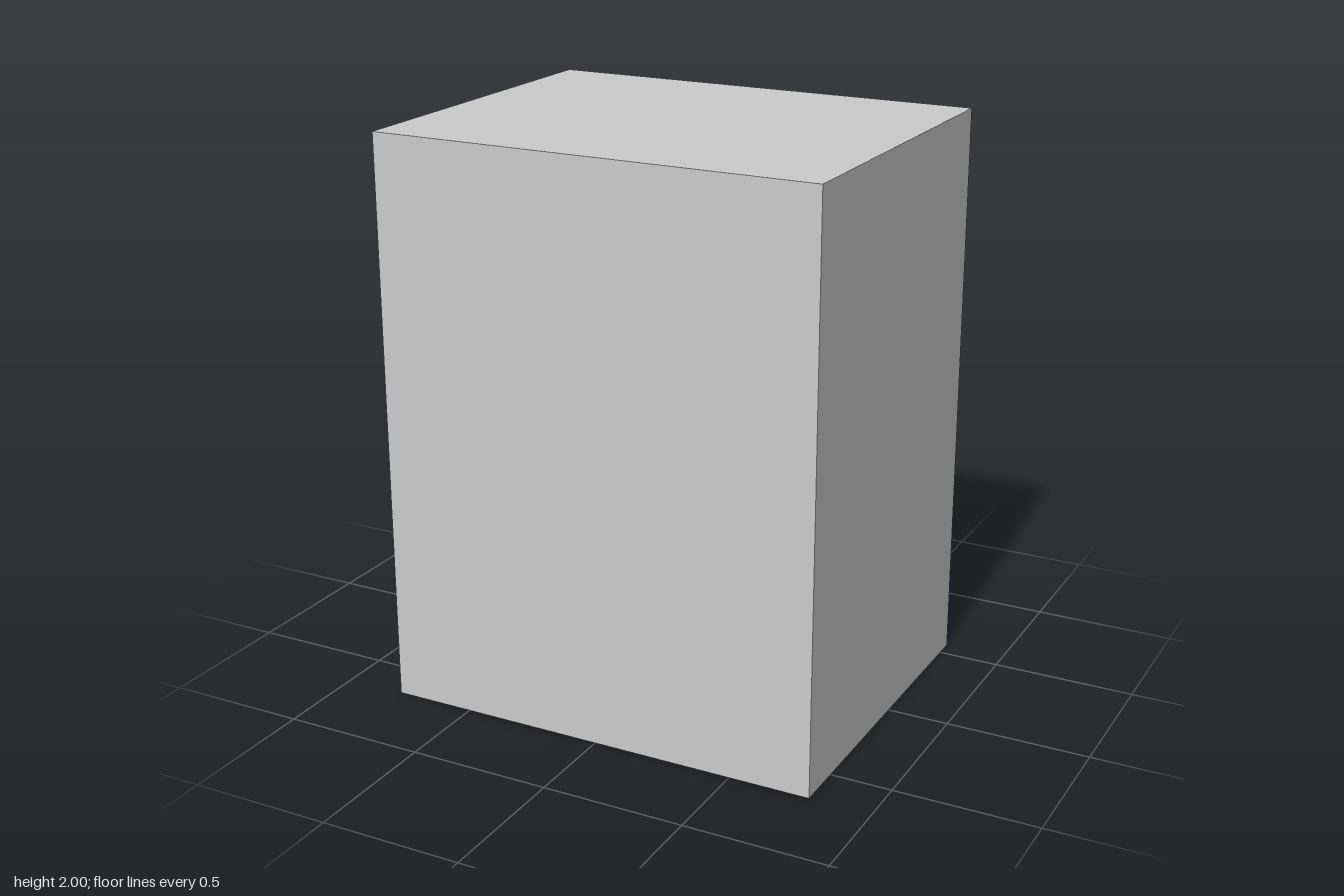
import * as THREE from 'three';

const material = new THREE.MeshStandardMaterial({ color: 0xcccccc });
const doubleMaterial = new THREE.MeshStandardMaterial({ color: 0xcccccc, side: THREE.DoubleSide });

function add(parent, name, geometry, x = 0, y = 0, z = 0, mat = material) {
  const mesh = new THREE.Mesh(geometry, mat);
  mesh.name = name;
  mesh.position.set(x, y, z);
  parent.add(mesh);
  return mesh;
}

const rectPoints = (w, h, cy = 0) => [[-1, -1], [1, -1], [1, 1], [-1, 1]]
  .map(([sx, sy]) => new THREE.Vector2(sx * w / 2, cy + sy * h / 2));

// Slab with holes, spanning z = 0..depth, chamfered around its outer edge at z = 0
function chamferedSlab(w, h, depth, holes, chamfer) {
  const shape = new THREE.Shape(rectPoints(w, h));
  holes.forEach(points => shape.holes.push(new THREE.Path(points)));
  const geometry = new THREE.ExtrudeGeometry(shape, { depth, steps: 2, bevelEnabled: false });
  const p = geometry.attributes.position;
  for (let i = 0; i < p.count; i++) {
    const x = p.getX(i), y = p.getY(i), z = p.getZ(i);
    if (Math.abs(z - depth / 2) < 1e-4) p.setZ(i, chamfer);
    if (z < 1e-4) {
      if (Math.abs(x) > w / 2 - 1e-4) p.setX(i, x - Math.sign(x) * chamfer);
      if (Math.abs(y) > h / 2 - 1e-4) p.setY(i, y - Math.sign(y) * chamfer);
    }
  }
  geometry.computeVertexNormals();
  return geometry;
}

// Sloping floor of the finger pull: deep under the arch, flush at the bottom
function pullFloor(arch, bottom, depth) {
  const positions = [], index = [];
  arch.forEach(([x, y], i) => {
    positions.push(x, bottom, 0, x, y, depth);
    if (i) {
      const a = 2 * i - 2;
      index.push(a, a + 1, a + 2, a + 1, a + 3, a + 2);
    }
  });
  const geometry = new THREE.BufferGeometry();
  geometry.setAttribute('position', new THREE.Float32BufferAttribute(positions, 3));
  geometry.setIndex(index);
  geometry.computeVertexNormals();
  return geometry;
}

function makeDrawer() {
  const drawer = new THREE.Group();
  const w = 1.27, h = 0.7, wall = 0.07, length = 1.15, front = -0.67;
  const bottom = -0.234, pullDepth = 0.06;
  const arch = [[-0.32, -0.175], [-0.23, -0.145], [-0.12, -0.125], [0.12, -0.125], [0.23, -0.145], [0.32, -0.175]];

  // Front panel with the arched finger pull cut into it
  const hole = [[-0.32, bottom], ...arch, [0.32, bottom]].map(([x, y]) => new THREE.Vector2(x, y));
  add(drawer, 'drawerFront', chamferedSlab(w, h, wall, [hole], 0.012), 0, 0, front);
  add(drawer, 'fingerPull', pullFloor(arch, bottom, pullDepth), 0, 0, front, doubleMaterial);

  // Open tray behind the panel
  const trayLength = length - wall, trayZ = front + wall + trayLength / 2;
  for (const s of [-1, 1]) {
    add(drawer, s > 0 ? 'drawerLeftSide' : 'drawerRightSide',
      new THREE.BoxGeometry(wall, h, trayLength), s * (w - wall) / 2, 0, trayZ);
  }
  add(drawer, 'drawerBottom', new THREE.BoxGeometry(w - 2 * wall, wall, trayLength), 0, (wall - h) / 2, trayZ);
  add(drawer, 'drawerBack', new THREE.BoxGeometry(w - 2 * wall, h - wall, wall), 0, wall / 2, front + length - wall / 2);
  return drawer;
}

export function createModel() {
  const cabinet = new THREE.Group();
  cabinet.name = 'cabinet';
  const w = 1.57, h = 2, back = 0.67, front = -0.58, panel = 0.07;
  const drawerHeights = [0.5, 1.5];

  // Carcass with two drawer openings, closed by a plain panel
  const openings = drawerHeights.map(y => rectPoints(1.31, 0.73, y - h / 2));
  add(cabinet, 'carcass', chamferedSlab(w, h, back - panel - front, openings, 0.012), 0, h / 2, front);
  add(cabinet, 'closingPanel', new THREE.BoxGeometry(w, h, panel), 0, h / 2, back - panel / 2);

  // Two drawers, slightly pulled out
  drawerHeights.forEach((y, i) => {
    const drawer = makeDrawer();
    drawer.name = i ? 'upperDrawer' : 'lowerDrawer';
    drawer.position.y = y;
    cabinet.add(drawer);
  });
  return cabinet;
}
